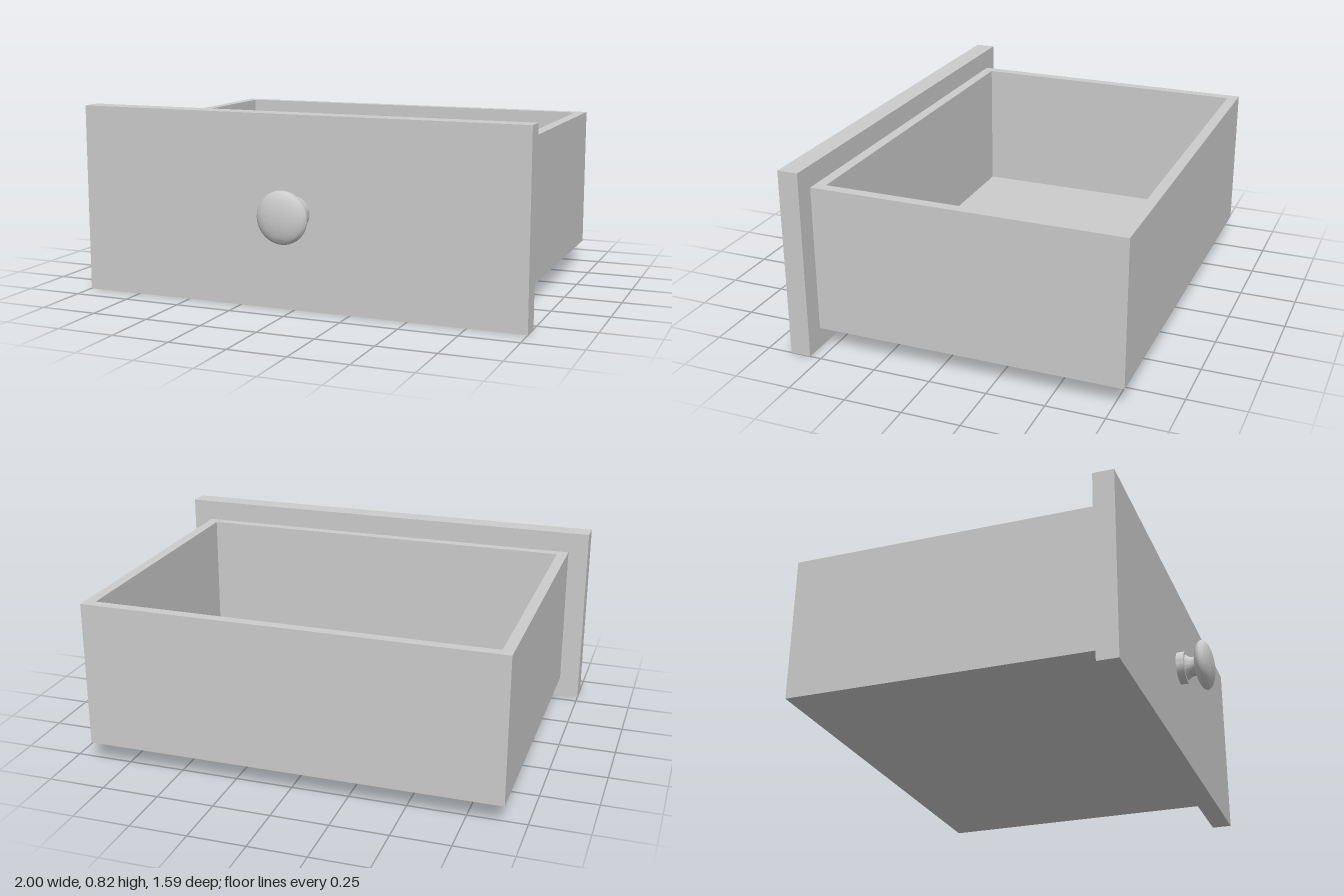
import * as THREE from 'three';
import { toCreasedNormals } from 'three/addons/utils/BufferGeometryUtils.js';

const material = new THREE.MeshStandardMaterial({ color: 0xcccccc });

function addMesh(parent, name, geometry) {
  const mesh = new THREE.Mesh(geometry, material);
  mesh.name = name;
  parent.add(mesh);
  return mesh;
}

// Box given by its minimum and maximum corners
function addBox(parent, name, min, max) {
  const size = max.map((v, i) => v - min[i]);
  const mesh = addMesh(parent, name, new THREE.BoxGeometry(...size));
  mesh.position.set(...max.map((v, i) => (v + min[i]) / 2));
}

export function createModel() {
  const drawer = new THREE.Group();
  drawer.name = 'drawer';

  const halfWidth = 0.91, back = -0.795, front = 0.55;
  const bottom = 0.09, top = 0.73, wall = 0.047;

  // Four walls as one frame, extruded upward
  const outline = new THREE.Shape([
    new THREE.Vector2(-halfWidth, -front), new THREE.Vector2(halfWidth, -front),
    new THREE.Vector2(halfWidth, -back), new THREE.Vector2(-halfWidth, -back),
  ]);
  const inX = halfWidth - wall;
  outline.holes.push(new THREE.Path([
    new THREE.Vector2(-inX, -front + wall), new THREE.Vector2(-inX, -back - wall),
    new THREE.Vector2(inX, -back - wall), new THREE.Vector2(inX, -front + wall),
  ]));
  const frame = new THREE.ExtrudeGeometry(outline, { depth: top - bottom, bevelEnabled: false });
  frame.rotateX(-Math.PI / 2);
  addMesh(drawer, 'boxWalls', frame).position.y = bottom;

  // Floor panel inside the walls
  addBox(drawer, 'boxFloor', [-inX, bottom, back + wall], [inX, bottom + wall, front - wall]);

  // Overhanging front panel
  addBox(drawer, 'frontPanel', [-1, 0, front], [1, 0.823, 0.64]);

  // Turned knob: round base, flared neck and a flattened head
  const profile = [[0, 0], [0.072, 0], [0.072, 0.035], [0.058, 0.035], [0.05, 0.043], [0.044, 0.054], [0.043, 0.072]]
    .map(([r, h]) => new THREE.Vector2(r, h));
  for (let i = 0; i <= 20; i++) {
    const angle = -1.15 + (i / 20) * (1.15 + Math.PI / 2);
    profile.push(new THREE.Vector2(Math.max(0, 0.112 * Math.cos(angle)), 0.114 + 0.041 * Math.sin(angle)));
  }
  const knob = toCreasedNormals(new THREE.LatheGeometry(profile, 48), 0.7);
  knob.rotateX(Math.PI / 2);
  addMesh(drawer, 'knob', knob).position.set(0, 0.414, 0.64);

  return drawer;
}
